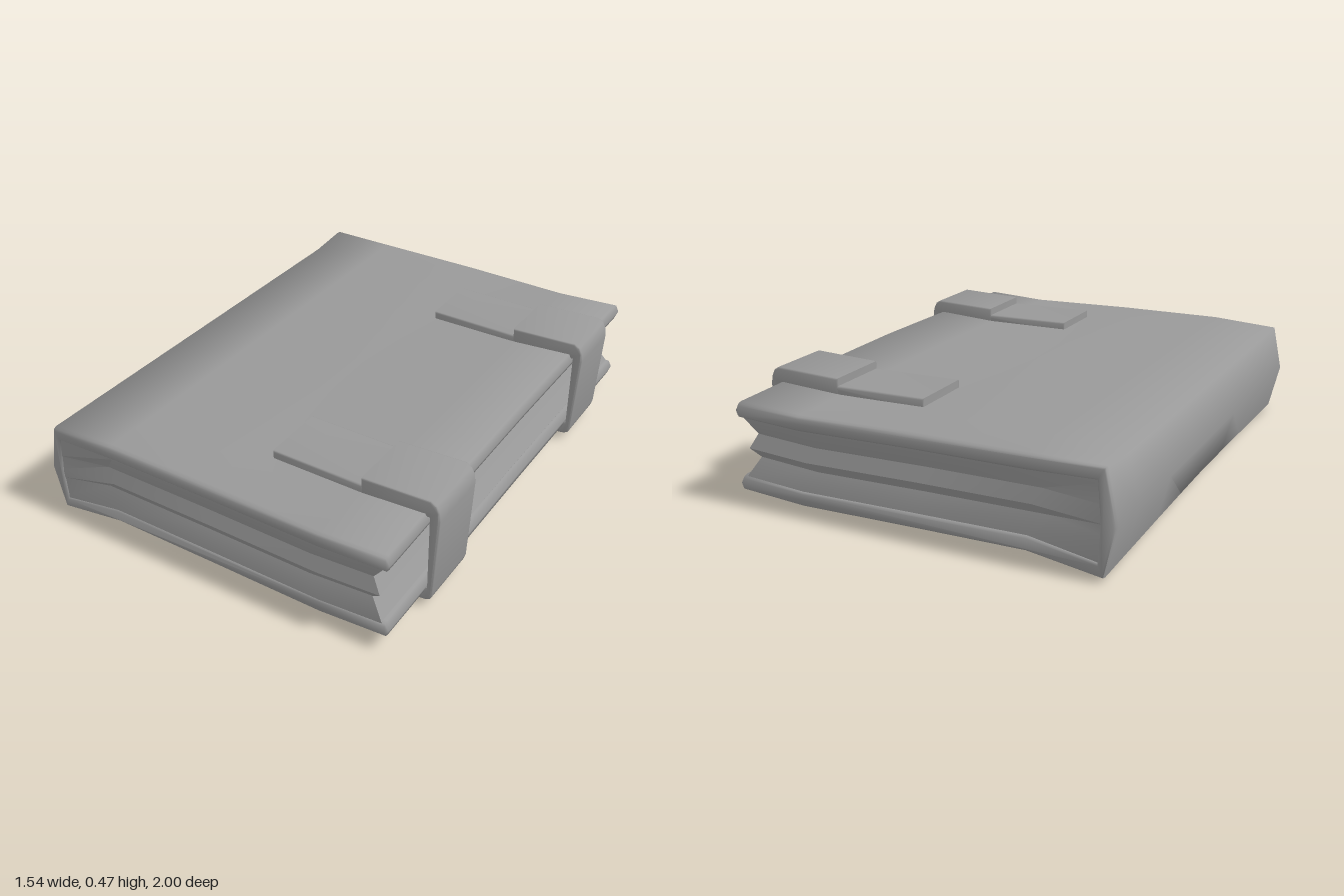
import * as THREE from 'three';
import { toCreasedNormals } from 'three/addons/utils/BufferGeometryUtils.js';

// Cover centreline from the top edge round the spine to the bottom edge: x, y, rise at mid length
const LINE = [
  [0.715, 0.373, 0.017], [0.45, 0.36, 0.012], [0, 0.37, 0], [-0.45, 0.372, 0], [-0.715, 0.358, 0],
  [-0.74, 0.2, 0],
  [-0.715, 0.042, 0.02], [-0.45, 0.085, -0.003], [0, 0.08, -0.02], [0.45, 0.073, -0.035], [0.715, 0.09, 0.017],
];
const bow = z => 1 - Math.pow(Math.min(1, Math.abs(z)), 1.3);
// the upper back corner at the spine curls up a little
const curl = (k, z) => (k === 4 ? 0.02 * Math.max(0, -5 * z - 4) : 0);
const lineY = (k, z) => LINE[k][1] + LINE[k][2] * bow(z) + curl(k, z);

// Skins a list of closed rings of Vector3, optionally capping both ends (rings in the xy plane)
function loft(rings, capped, crease) {
  const n = rings[0].length, index = [];
  for (let i = 0; i < rings.length - 1; i++) {
    for (let j = 0; j < n; j++) {
      const a = i * n + j, b = i * n + (j + 1) % n;
      index.push(a, b, b + n, a, b + n, a + n);
    }
  }
  if (capped) {
    const last = (rings.length - 1) * n;
    const flat = ring => ring.map(p => new THREE.Vector2(p.x, p.y));
    for (const [a, b, c] of THREE.ShapeUtils.triangulateShape(flat(rings[0]), [])) index.push(a, c, b);
    for (const [a, b, c] of THREE.ShapeUtils.triangulateShape(flat(rings.at(-1)), [])) index.push(last + a, last + b, last + c);
  }
  const geo = new THREE.BufferGeometry().setFromPoints(rings.flat());
  geo.setIndex(index);
  return toCreasedNormals(geo, crease);
}

// One C-shaped slice of the cover with half thickness t
function coverRing(z, t) {
  const pts = LINE.map((p, k) => new THREE.Vector2(p[0], lineY(k, z)));
  const outer = [], inner = [];
  pts.forEach((p, k) => {
    const d = pts[Math.min(k + 1, pts.length - 1)].clone().sub(pts[Math.max(k - 1, 0)]).normalize();
    outer.push(new THREE.Vector3(p.x + d.y * t, p.y - d.x * t, z));
    inner.unshift(new THREE.Vector3(p.x - d.y * t, p.y + d.x * t, z));
  });
  // rounded free edges
  const tip = p => new THREE.Vector3(p.x + t * 0.45, p.y, z);
  return [...outer, tip(pts.at(-1)), ...inner, tip(pts[0])];
}

// One level of the page block: f is the height between the covers, inset the depth of the groove
function pageRing(f, inset) {
  const columns = [4, 3, 2, 1, 0];
  const point = (k, z) => {
    const atSpine = k === 4;
    const zz = z * (0.99 - (atSpine ? 0 : inset * 0.5));
    const x = atSpine ? -0.705 - 0.025 * Math.sin(Math.PI * f) : Math.min(LINE[k][0], 0.7) - inset;
    return new THREE.Vector3(x, THREE.MathUtils.lerp(lineY(10 - k, zz), lineY(k, zz), f), zz);
  };
  return [
    ...columns.map(k => point(k, 1)),
    ...[0.5, 0, -0.5].map(z => point(0, z)),
    ...columns.toReversed().map(k => point(k, -1)),
  ];
}

// Flat outline given thickness along z, with rounded edges
function band(outline, width) {
  const shape = new THREE.Shape(outline.map(p => new THREE.Vector2(...p)));
  const e = 0.007;
  const geo = new THREE.ExtrudeGeometry(shape, {
    depth: width - 2 * e, bevelEnabled: true, bevelThickness: e, bevelSize: e, bevelOffset: -e, bevelSegments: 2,
  });
  geo.translate(0, 0, e - width / 2);
  return toCreasedNormals(geo, 0.85);
}

export function createModel() {
  const model = new THREE.Group();
  model.name = 'book';
  const material = new THREE.MeshStandardMaterial({ color: 0x999999 });
  const thin = new THREE.MeshStandardMaterial({ color: 0x999999, side: THREE.DoubleSide });
  const add = (name, geo, mat = material) => {
    const mesh = new THREE.Mesh(geo, mat);
    mesh.name = name;
    model.add(mesh);
    return mesh;
  };

  // Wrap-around cover, thinning to rounded ends
  const slices = [
    [-1, 0.019], [-0.994, 0.026], [-0.98, 0.03], [-0.8, 0.03], [-0.5, 0.03], [-0.25, 0.03], [0, 0.03],
    [0.25, 0.03], [0.5, 0.03], [0.8, 0.03], [0.975, 0.03], [0.989, 0.026], [0.995, 0.019],
  ];
  add('cover', loft(slices.map(([z, t]) => coverRing(z, t)), true, 1.4));

  // Page block with grooved edges
  const levels = [[0.03, 0], [0.1, 0], [0.36, 0.05], [0.48, 0.012], [0.68, 0.045], [0.9, 0], [0.97, 0]];
  add('pages', loft(levels.map(([f, inset]) => pageRing(f, inset)), false, 0.4), thin);

  // Two straps round the fore edge, each closing over a tab on the top cover
  const strapOutline = [
    [0.09, 0.012], [0.46, 0], [0.725, 0.028], [0.742, 0.036], [0.75, 0.06],
    [0.769, 0.39], [0.765, 0.425], [0.752, 0.452], [0.73, 0.465], [0.46, 0.455],
    [0.46, 0.385], [0.7, 0.395], [0.728, 0.395], [0.728, 0.085], [0.7, 0.075], [0.46, 0.055], [0.09, 0.06],
  ];
  const tabOutline = [[0.09, 0.38], [0.6, 0.37], [0.6, 0.425], [0.46, 0.425], [0.09, 0.43]];
  const strapGeo = band(strapOutline, 0.265), tabGeo = band(tabOutline, 0.262);
  for (const [side, z] of [['front', 0.6], ['back', -0.605]]) {
    add(side + 'Strap', strapGeo).position.z = z;
    add(side + 'StrapTab', tabGeo).position.z = z;
  }
  return model;
}
